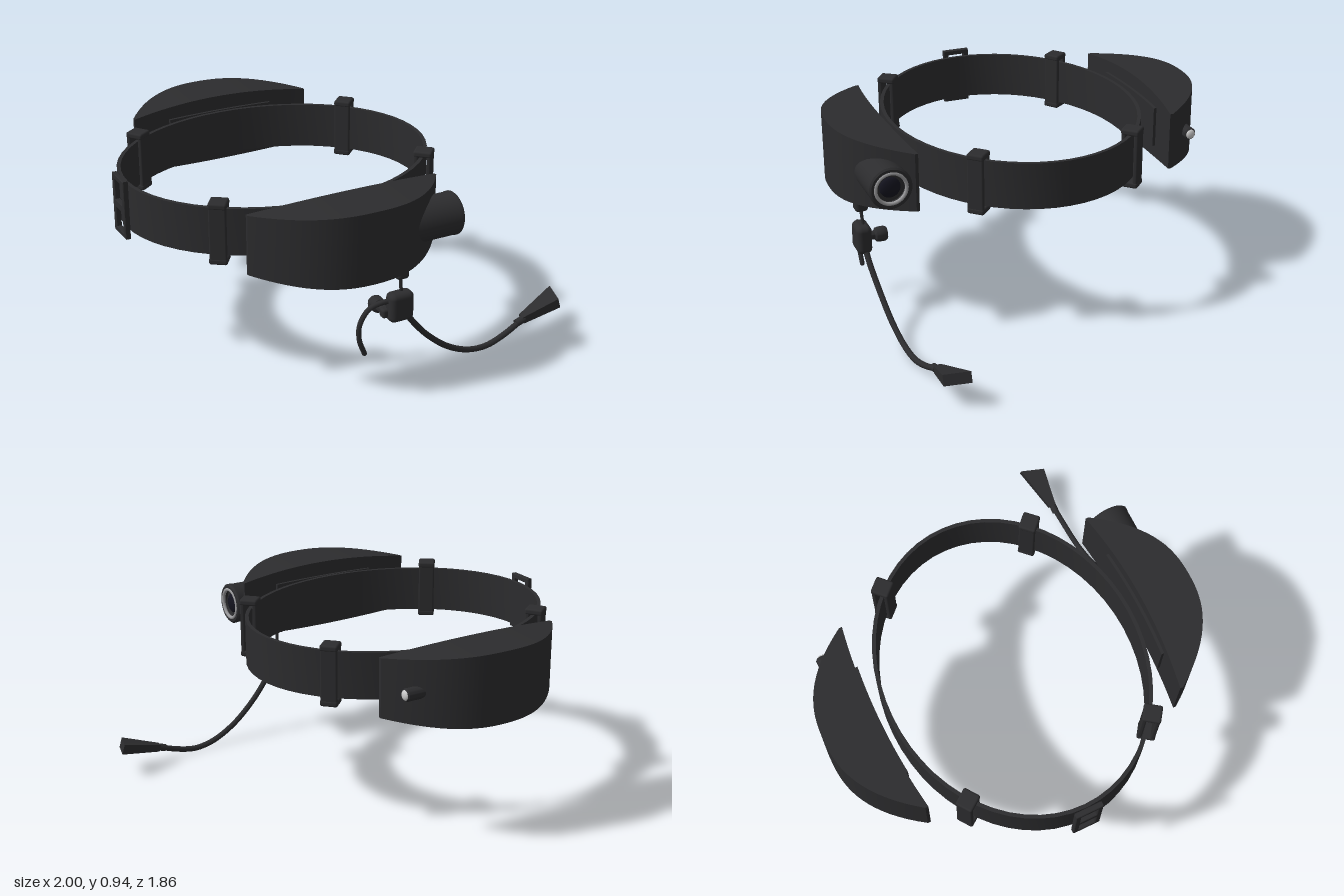
import * as THREE from 'three';
import { toCreasedNormals } from 'three/addons/utils/BufferGeometryUtils.js';
import { RoundedBoxGeometry } from 'three/addons/geometries/RoundedBoxGeometry.js';

const V = (x, y, z) => new THREE.Vector3(x, y, z);
const mat = (color) => new THREE.MeshStandardMaterial({ color });
const CX = -0.205, RX = 0.752, RZ = 0.612, MID = 0.773; // headband ellipse and its height

export function createModel() {
  const root = new THREE.Group();
  const dark = mat(0x2c2c2e), metal = mat(0x9a9a9c), silver = mat(0xd8d8d8), glass = mat(0x14141f);

  const add = (name, geo, material = dark, parent = root, pos = [0, 0, 0]) => {
    const mesh = new THREE.Mesh(geo, material);
    mesh.name = name;
    mesh.position.set(...pos);
    parent.add(mesh);
    return mesh;
  };
  const group = (name, parent = root) => {
    const g = new THREE.Group();
    g.name = name;
    parent.add(g);
    return g;
  };
  // Turned part along +x from [radius, x] pairs
  const turned = (pts) => toCreasedNormals(
    new THREE.LatheGeometry(pts.map((p) => new THREE.Vector2(...p)), 32).rotateZ(-Math.PI / 2), 0.6);
  const tube = (pts, r) => new THREE.TubeGeometry(
    new THREE.CatmullRomCurve3(pts.map((p) => V(...p))), 48, r, 10);
  // Box bent by a rule: w runs -1..1 along x, s is the side (-1 inner, 1 outer), t is -1..1 in height
  const bent = (segments, rule) => {
    const geo = new THREE.BoxGeometry(2, 2, 2, segments, 1, 1);
    const p = geo.attributes.position;
    for (let i = 0; i < p.count; i++) p.setXYZ(i, ...rule(p.getX(i), p.getZ(i), p.getY(i)));
    return toCreasedNormals(geo, 0.5);
  };

  // Headband: thin elliptical strap
  const ring = new THREE.Shape().absellipse(CX, 0, RX + 0.008, RZ + 0.008, 0, Math.PI * 2);
  ring.holes.push(new THREE.Path().absellipse(CX, 0, RX - 0.01, RZ - 0.01, 0, Math.PI * 2));
  const band = new THREE.ExtrudeGeometry(ring, { depth: 0.226, bevelEnabled: false, curveSegments: 28 });
  band.rotateX(Math.PI / 2).translate(0, MID + 0.113, 0);
  add('headband', toCreasedNormals(band, 0.5));

  // Strap clips: loops around the band
  for (const [x, z] of [[-0.71, 0.465], [-0.71, -0.465], [0.39, 0.385], [0.39, -0.385]]) {
    const clip = group('strapClip');
    clip.position.set(x, MID + 0.004, z);
    clip.rotation.y = Math.atan2((x - CX) / RX ** 2, z / RZ ** 2);
    for (const s of [-1, 1]) {
      add('clipPlate', new RoundedBoxGeometry(0.08, 0.28, 0.022, 2, 0.008), dark, clip, [0, 0, s * 0.031]);
      add('clipCap', new RoundedBoxGeometry(0.084, 0.03, 0.088, 2, 0.01), dark, clip, [0, s * 0.132, 0]);
    }
  }

  // Side buckle: flat frame with two windows
  const frame = new THREE.Shape([[-0.065, -0.14], [0.065, -0.14], [0.065, 0.14], [-0.065, 0.14]]
    .map((p) => new THREE.Vector2(...p)));
  for (const s of [-1, 1]) {
    frame.holes.push(new THREE.Path([[-0.045, 0.015], [0.045, 0.015], [0.045, 0.122], [-0.045, 0.122]]
      .map(([x, y]) => new THREE.Vector2(x, y * s))));
  }
  const buckle = new THREE.ExtrudeGeometry(frame, {
    depth: 0.02, bevelSize: 0.003, bevelThickness: 0.003, bevelSegments: 1 });
  add('sideBuckle', buckle.rotateY(-Math.PI / 2), dark, root, [-0.975, MID, 0]);

  // Crescent pods at the front and back, each with an inner pad
  const inner = (w) => 0.675 - 0.04 * w * w;
  const shell = bent(32, (w, s, t) => [
    w * 0.475,
    t * (0.172 - 0.03 * w * w),
    s > 0 ? 0.932 - 0.282 * Math.abs(w) ** 2.4 : inner(w)]);
  const pad = bent(16, (w, s, t) => [w * 0.28, t * 0.1, inner(w * 0.59) + (s > 0 ? 0.03 : -0.014)]);
  for (const [name, turn] of [['frontPod', 0], ['backPod', Math.PI]]) {
    const pod = group(name);
    pod.position.set(-0.185, MID, 0);
    pod.rotation.y = turn;
    add('podShell', shell, dark, pod);
    add('podPad', pad, dark, pod);
  }

  // Camera on the left end of the front pod
  const camera = group('camera');
  camera.position.set(0, MID, 0.772);
  add('cameraBarrel', turned([[0, 0], [0.1, 0], [0.1, 0.285], [0.102, 0.292], [0.102, 0.302],
    [0.094, 0.31], [0.08, 0.31], [0.07, 0.285], [0, 0.285]]), dark, camera);
  add('lensRing', new THREE.TorusGeometry(0.074, 0.009, 10, 36).rotateY(Math.PI / 2), metal, camera, [0.306, 0, 0]);
  add('lens', new THREE.SphereGeometry(0.05, 24, 16).scale(0.4, 1, 1), glass, camera, [0.287, 0, 0]);

  // Button on the back pod
  const button = group('button');
  button.position.set(0, MID, -0.775);
  add('buttonBase', turned([[0, 0.12], [0.03, 0.12], [0.03, 0.238], [0.024, 0.245], [0, 0.245]]), dark, button);
  add('buttonTip', new THREE.SphereGeometry(0.024, 20, 12).scale(0.5, 1, 1), silver, button, [0.244, 0, 0]);

  // Microphone mount below the front pod
  const mic = group('microphone');
  add('mountHub', new RoundedBoxGeometry(0.064, 0.07, 0.064, 3, 0.018), dark, mic, [0, 0.58, 0.835]);
  add('mountRod', tube([[0, 0.56, 0.835], [0.004, 0.51, 0.832], [0.012, 0.46, 0.828]], 0.008), dark, mic);
  add('jointBlock', new RoundedBoxGeometry(0.122, 0.142, 0.074, 4, 0.026), dark, mic, [0, 0.405, 0.835]);
  add('jointKnob', turned([[0, 0], [0.022, 0], [0.022, 0.05], [0.034, 0.058], [0.037, 0.075],
    [0.037, 0.1], [0.03, 0.112], [0, 0.114]]).rotateY(Math.PI / 2), dark, mic, [-0.056, 0.375, 0.81]);
  add('knobArm', new RoundedBoxGeometry(0.07, 0.045, 0.04, 2, 0.012), dark, mic, [-0.05, 0.375, 0.815]);

  // Curled cable and microphone boom
  const cable = [[-0.04, 0.435, 0.83], [-0.09, 0.435, 0.825], [-0.15, 0.41, 0.815],
    [-0.19, 0.34, 0.808], [-0.188, 0.26, 0.802], [-0.158, 0.18, 0.798]];
  add('curledCable', tube(cable, 0.012), dark, mic);
  add('cableEnd', new THREE.SphereGeometry(0.012, 10, 8), dark, mic, cable.at(-1));
  add('boom', tube([[0.03, 0.365, 0.832], [0.08, 0.295, 0.825], [0.17, 0.195, 0.81], [0.3, 0.09, 0.793],
    [0.43, 0.03, 0.777], [0.54, 0.016, 0.764], [0.64, 0.037, 0.752], [0.76, 0.082, 0.735]], 0.0145), dark, mic);

  // Wedge-shaped microphone tip, flared towards its slanted end
  const tip = bent(1, (w, s, t) => {
    const k = (w + 1) / 2;
    return [k * (s > 0 ? 0.2 : 0.236), t * (0.018 + 0.008 * k),
      s > 0 ? 0.018 + 0.022 * k : -0.018 - 0.062 * k];
  });
  add('microphoneTip', tip, dark, mic, [0.765, 0.085, 0.73]).rotation.z = 0.29;
  add('tipCollar', new THREE.CylinderGeometry(0.019, 0.019, 0.05, 12).rotateZ(Math.PI / 2), dark, mic,
    [0.752, 0.08, 0.735]).rotation.z = 0.32;

  return root;
}
